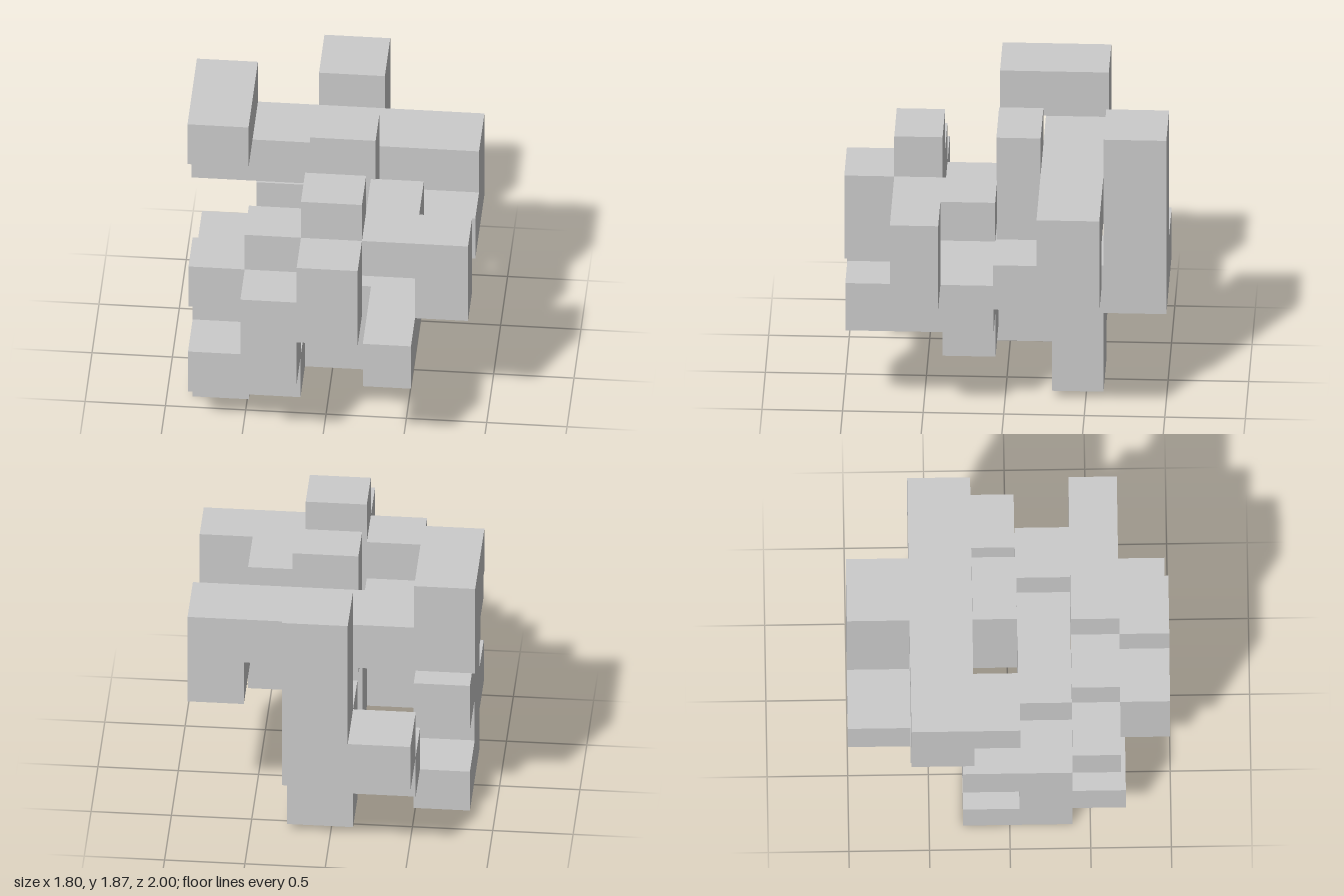
import * as THREE from 'three';

// Interlocking block puzzle: each piece is a list of bars [x0, x1, y0, y1, z0, z1]
const pieces = {
  frontPiece: [
    [-0.49, 0.24, 0.93, 1.24, 0.69, 1.0],
    [-0.49, -0.14, 0.6, 0.93, 0.69, 1.0],
    [-0.14, 0.24, 1.24, 1.51, 0.69, 1.0],
  ],
  steppedPiece: [
    [-0.49, 0.9, 1.24, 1.51, 0.39, 0.69],
    [-0.14, 0.24, 1.51, 1.79, 0.39, 0.69],
    [0.57, 0.9, 0.93, 1.24, 0.39, 0.69],
    [0.24, 0.57, 1.24, 1.51, 0.05, 0.39],
    [-0.84, -0.14, 0.93, 1.24, 0.39, 0.69],
    [-0.49, -0.14, 0.93, 1.24, 0.06, 0.39],
  ],
  hookPiece: [
    [-0.84, -0.49, 0, 0.29, -0.29, 0.39],
    [-0.84, -0.49, 0.29, 0.6, 0.06, 0.39],
    [-0.84, -0.49, 0.6, 0.93, -0.29, 0.39],
    [-0.84, -0.14, 0.29, 0.6, 0.39, 0.72],
  ],
  lowBarPiece: [
    [0.27, 0.57, 0.6, 0.93, 0.06, 0.98],
    [-0.14, 0.27, 0.28, 0.93, 0.06, 0.39],
  ],
  upperPiece: [
    [-0.9, 0.89, 1.24, 1.56, -0.61, -0.22],
    [-0.9, -0.52, 1.56, 1.87, -0.61, 0.065],
    [0.54, 0.89, 0.93, 1.24, -0.61, 0.05],
    [-0.14, 0.27, 0.93, 1.81, -0.22, 0.055],
  ],
  backPiece: [
    [-0.14, 0.27, 0.6, 1.81, -1.0, -0.61],
    [-0.53, -0.14, 0.6, 0.93, -1.0, -0.61],
    [-0.14, 0.27, 0.05, 0.93, -0.61, -0.29],
    [-0.53, -0.14, 0.3, 0.6, -0.61, -0.29],
  ],
};

export function createModel() {
  const model = new THREE.Group();
  const material = new THREE.MeshStandardMaterial({ color: 0xcccccc, flatShading: true });
  for (const [name, bars] of Object.entries(pieces)) {
    const piece = new THREE.Group();
    piece.name = name;
    for (const [x0, x1, y0, y1, z0, z1] of bars) {
      const bar = new THREE.Mesh(new THREE.BoxGeometry(x1 - x0, y1 - y0, z1 - z0), material);
      bar.position.set((x0 + x1) / 2, (y0 + y1) / 2, (z0 + z1) / 2);
      bar.name = 'bar';
      piece.add(bar);
    }
    model.add(piece);
  }
  return model;
}
